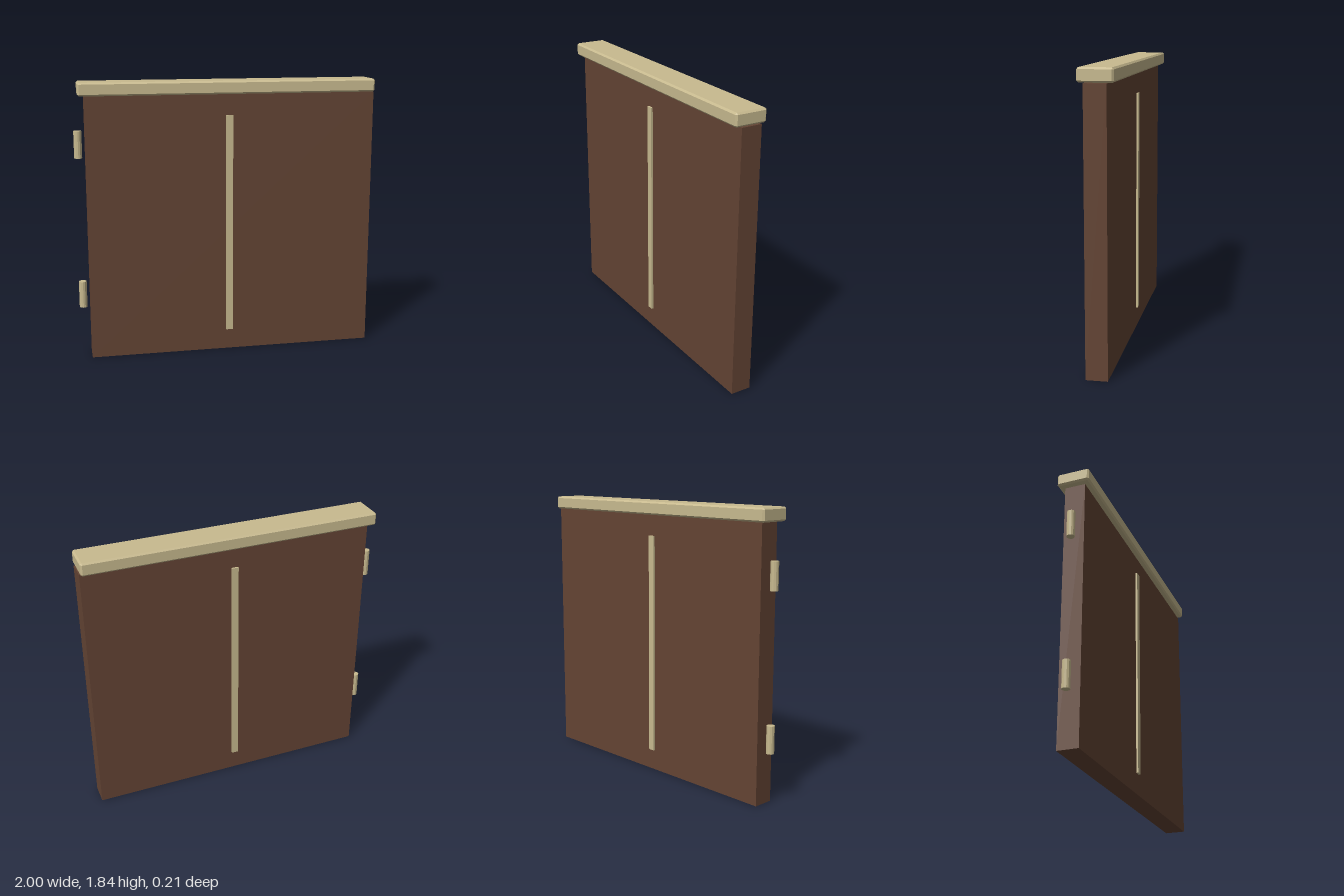
import * as THREE from 'three';
import { ConvexGeometry } from 'three/addons/geometries/ConvexGeometry.js';

// Box with a flat chamfer on every edge
function chamferedBox(w, h, d, c) {
  const points = [];
  for (const sx of [-1, 1]) for (const sy of [-1, 1]) for (const sz of [-1, 1]) {
    const x = w / 2, y = h / 2, z = d / 2;
    points.push(
      new THREE.Vector3(sx * x, sy * (y - c), sz * (z - c)),
      new THREE.Vector3(sx * (x - c), sy * y, sz * (z - c)),
      new THREE.Vector3(sx * (x - c), sy * (y - c), sz * z),
    );
  }
  return new ConvexGeometry(points);
}

export function createModel() {
  const group = new THREE.Group();
  const brown = new THREE.MeshStandardMaterial({ color: 0x644434 });
  brown.name = 'brown panel';
  const tan = new THREE.MeshStandardMaterial({ color: 0xc8ba8f });
  tan.name = 'tan trim';

  const add = (name, geometry, material, x, y, z) => {
    const mesh = new THREE.Mesh(geometry, material);
    mesh.name = name;
    mesh.position.set(x, y, z);
    group.add(mesh);
    return mesh;
  };

  // Door slab
  add('panel', new THREE.BoxGeometry(1.928, 1.752, 0.136), brown, 0.036, 0.876, 0);

  // Chamfered rail along the top
  add('topCap', chamferedBox(1.966, 0.086, 0.214, 0.011), tan, 0.013, 1.797, 0);

  // Raised vertical strip on both faces
  const strip = new THREE.BoxGeometry(0.045, 1.476, 0.016);
  add('frontStrip', strip, tan, 0.012, 0.877, 0.073);
  add('backStrip', strip, tan, 0.012, 0.877, -0.073);

  // Hinge pins, set just clear of the panel edge
  const pin = new THREE.CylinderGeometry(0.026, 0.026, 0.178, 12).toNonIndexed();
  pin.computeVertexNormals();
  add('lowerHinge', pin, tan, -0.974, 0.43, 0);
  add('upperHinge', pin, tan, -0.974, 1.438, 0);

  return group;
}
